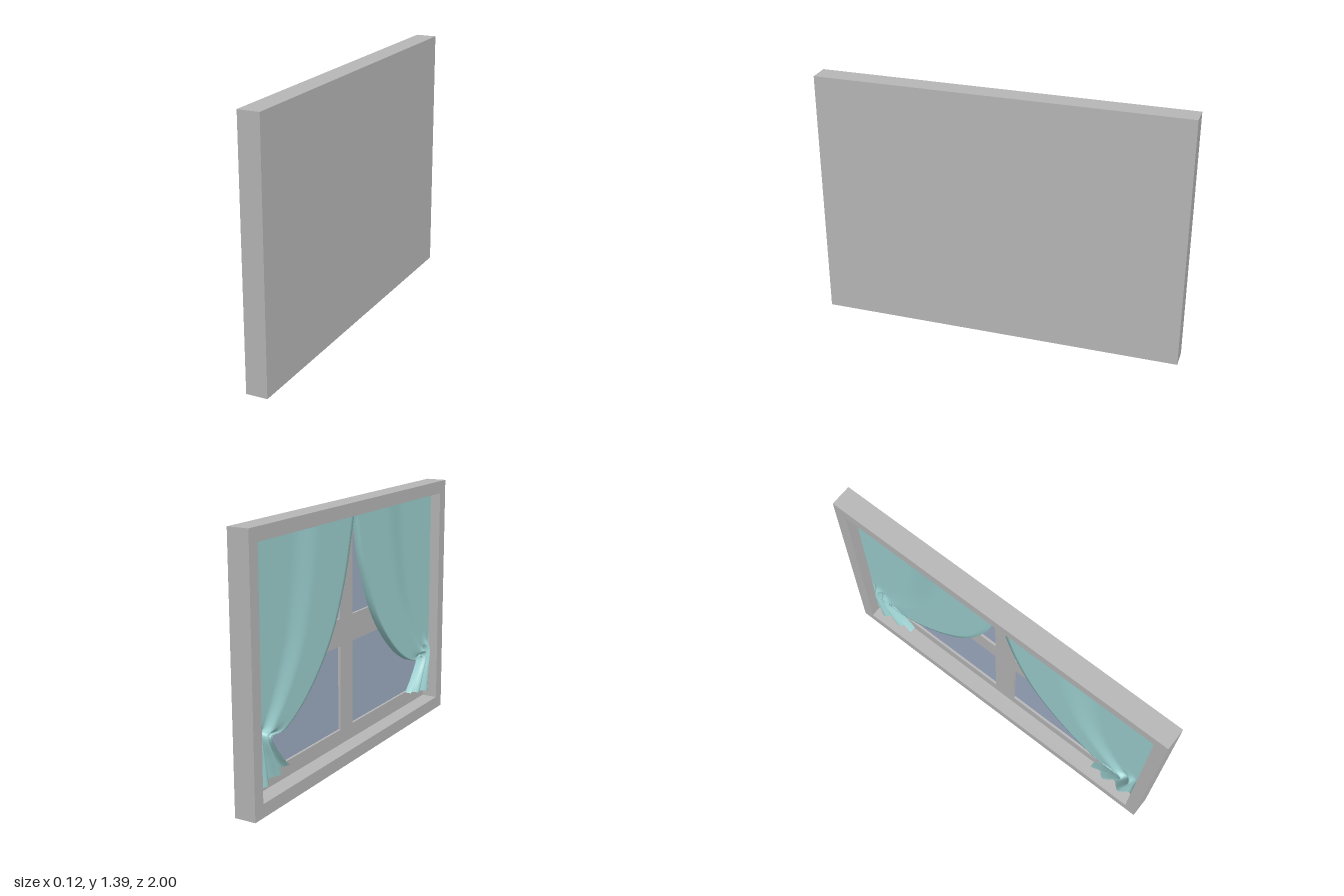
import * as THREE from 'three';

const H = 1.386, HALF_Z = 1, DEPTH = 0.116;
const FACE = -DEPTH / 2; // x of the face that carries the window

// Rectangle outline in (z, y)
function rect(path, z0, y0, z1, y1) {
  path.moveTo(z0, y0);
  path.lineTo(z1, y0);
  path.lineTo(z1, y1);
  path.lineTo(z0, y1);
  path.closePath();
  return path;
}

// Panel with rectangular holes, lying between depths d0 and d1 behind the face
function panel(name, material, outer, holes, d0, d1) {
  const shape = rect(new THREE.Shape(), ...outer);
  holes.forEach(h => shape.holes.push(rect(new THREE.Path(), ...h)));
  const geo = new THREE.ExtrudeGeometry(shape, { depth: d1 - d0, bevelEnabled: false });
  geo.rotateY(-Math.PI / 2);
  geo.translate(FACE + d1, 0, 0);
  const mesh = new THREE.Mesh(geo, material);
  mesh.name = name;
  return mesh;
}

const curve = pts => new THREE.CatmullRomCurve3(pts.map(([u, y]) => new THREE.Vector3(u, y, 0)), false, 'centripetal');

// Inner and outer edges of a tied-back curtain, as (distance from centre, height)
const innerEdge = curve([[0.01, 1.316], [0.1, 1.0], [0.245, 0.71], [0.485, 0.465], [0.69, 0.357], [0.80, 0.355], [0.735, 0.25], [0.655, 0.165]]);
const outerEdge = curve([[0.93, 1.316], [0.93, 1.06], [0.93, 0.82], [0.93, 0.62], [0.93, 0.47], [0.925, 0.40], [0.922, 0.26], [0.925, 0.115]]);
const TIE = 5 / 7;

// Depth of the cloth: turned-back inner edge, one broad fold, pleats near the tie
function clothDepth(s, t) {
  const fold = 0.036 + 0.022 * THREE.MathUtils.smoothstep(s, 0.36, 0.6);
  const gather = THREE.MathUtils.smoothstep(t, TIE - 0.2, TIE + 0.06);
  const pleat = 0.042 + 0.018 * Math.sin(s * Math.PI * 5 - 0.6);
  return THREE.MathUtils.lerp(fold, pleat, gather);
}

function curtain(name, side, material) {
  const rows = 42, cols = 36, pos = [], index = [];
  for (let i = 0; i <= rows; i++) {
    const t = i / rows;
    const a = innerEdge.getPoint(t), b = outerEdge.getPoint(t);
    for (let j = 0; j <= cols; j++) {
      const s = Math.max(0, (j - 1) / (cols - 1));
      const p = a.clone().lerp(b, s);
      const d = j === 0 ? 0.07 : clothDepth(s, t);
      pos.push(FACE + d, p.y, side * p.x);
      if (i < rows && j < cols) {
        const k = i * (cols + 1) + j, n = k + cols + 1;
        if (side > 0) index.push(k, n, k + 1, k + 1, n, n + 1);
        else index.push(k, k + 1, n, k + 1, n + 1, n);
      }
    }
  }
  const geo = new THREE.BufferGeometry();
  geo.setAttribute('position', new THREE.Float32BufferAttribute(pos, 3));
  geo.setIndex(index);
  geo.computeVertexNormals();
  const mesh = new THREE.Mesh(geo, material);
  mesh.name = name;
  return mesh;
}

export function createModel() {
  const frameGrey = new THREE.MeshStandardMaterial({ color: 0xb8b7b7 });
  frameGrey.name = 'frame grey';
  const glassBlue = new THREE.MeshStandardMaterial({ color: 0x9eadc3 });
  glassBlue.name = 'glass blue';
  const curtainTeal = new THREE.MeshStandardMaterial({ color: 0x9bcece, side: THREE.DoubleSide });
  curtainTeal.name = 'curtain teal';

  const group = new THREE.Group();
  group.name = 'curtainedWindow';

  // Deep outer frame, sash with four panes, closed back
  const opening = [-0.932, 0.07, 0.932, 1.316];
  const panes = [];
  for (const [y0, y1] of [[0.153, 0.618], [0.768, 1.233]]) {
    panes.push([-0.85, y0, -0.065, y1], [0.065, y0, 0.85, y1]);
  }
  group.add(panel('outerFrame', frameGrey, [-HALF_Z, 0, HALF_Z, H], [opening], 0, DEPTH));
  group.add(panel('sash', frameGrey, opening, panes, 0.09, 0.106));
  group.add(panel('backPanel', frameGrey, opening, [], 0.106, DEPTH));

  // Glass set slightly behind the sash bars
  panes.forEach(p => group.add(panel('glassPane', glassBlue, p, [], 0.103, 0.106)));

  // Mirrored pair of tied-back curtains
  group.add(curtain('frontCurtain', 1, curtainTeal));
  group.add(curtain('backCurtain', -1, curtainTeal));
  return group;
}
